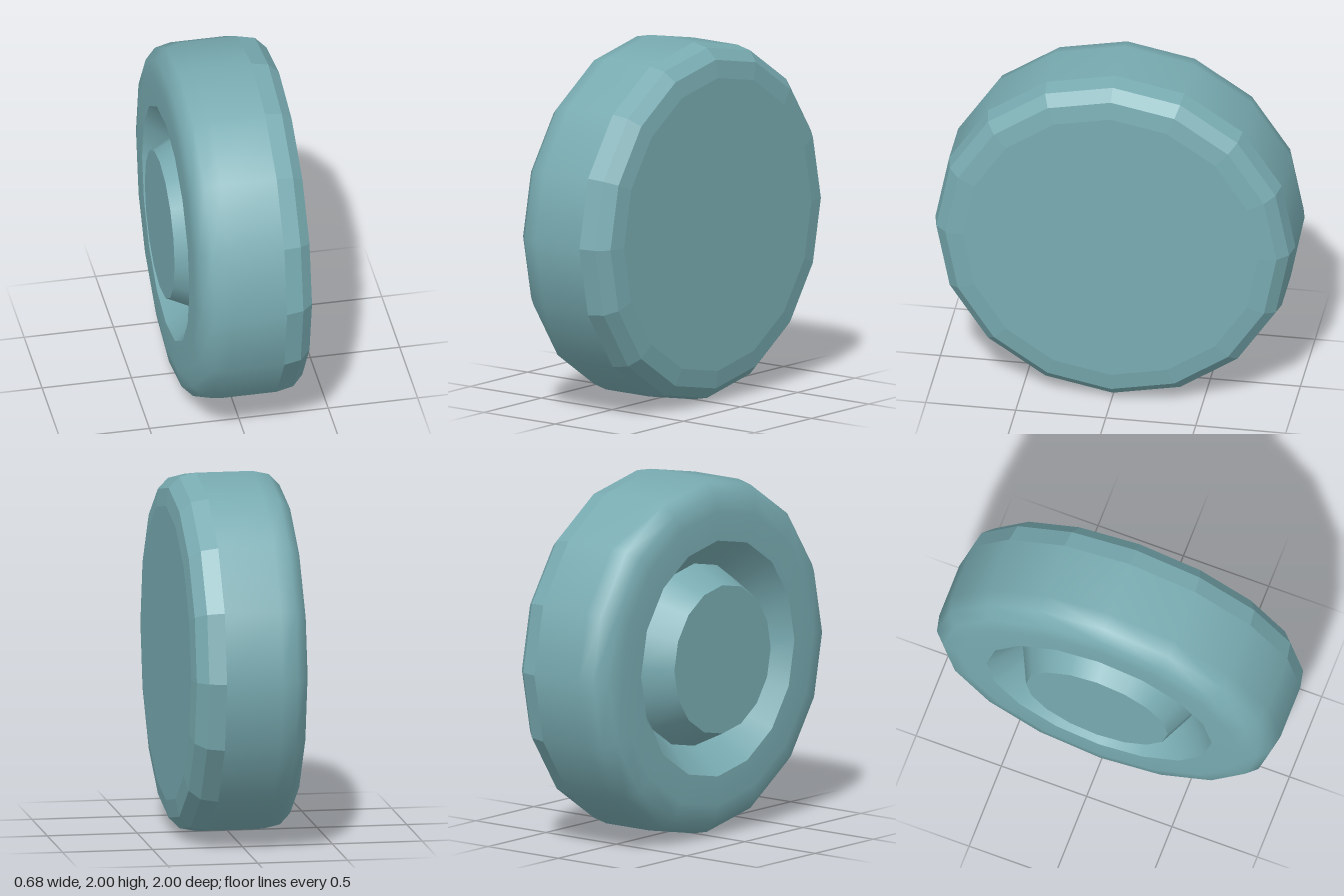
import * as THREE from 'three';

const SIDES = 16;

// Revolve [x, radius] points around the wheel's horizontal axle
function revolve(name, points, flatShading = false) {
  const profile = points.map(([x, r]) => new THREE.Vector2(r, x));
  const geometry = new THREE.LatheGeometry(profile, SIDES);
  geometry.rotateZ(-Math.PI / 2); // lathe axis y becomes +x
  const material = new THREE.MeshStandardMaterial({ color: 0x78abb1, flatShading });
  const mesh = new THREE.Mesh(geometry, material);
  mesh.name = name;
  return mesh;
}

export function createModel() {
  const wheel = new THREE.Group();
  wheel.name = 'wheel';

  wheel.add(
    // Raised hub: flat cap and tapered side
    revolve('hubCap', [[-0.342, 0], [-0.342, 0.415]]),
    revolve('hubSide', [[-0.342, 0.415], [-0.14, 0.51]]),
    // Sloped groove between hub and tyre
    revolve('grooveWall', [[-0.14, 0.51], [-0.308, 0.66]]),
    // Smooth tyre: side wall, rounded shoulder and tread
    revolve('tyre', [
      [-0.308, 0.66], [-0.308, 0.82], [-0.29, 0.92],
      [-0.23, 0.98], [-0.14, 1], [0.17, 1],
    ]),
    // Faceted shoulder on the closed side
    revolve('facetedShoulder', [
      [0.17, 1], [0.265, 0.98], [0.325, 0.92], [0.34, 0.82],
    ], true),
    // Flat closed face
    revolve('closedFace', [[0.34, 0.82], [0.34, 0]], true),
  );

  wheel.position.y = 1;
  const model = new THREE.Group();
  model.name = 'model';
  model.add(wheel);
  return model;
}
